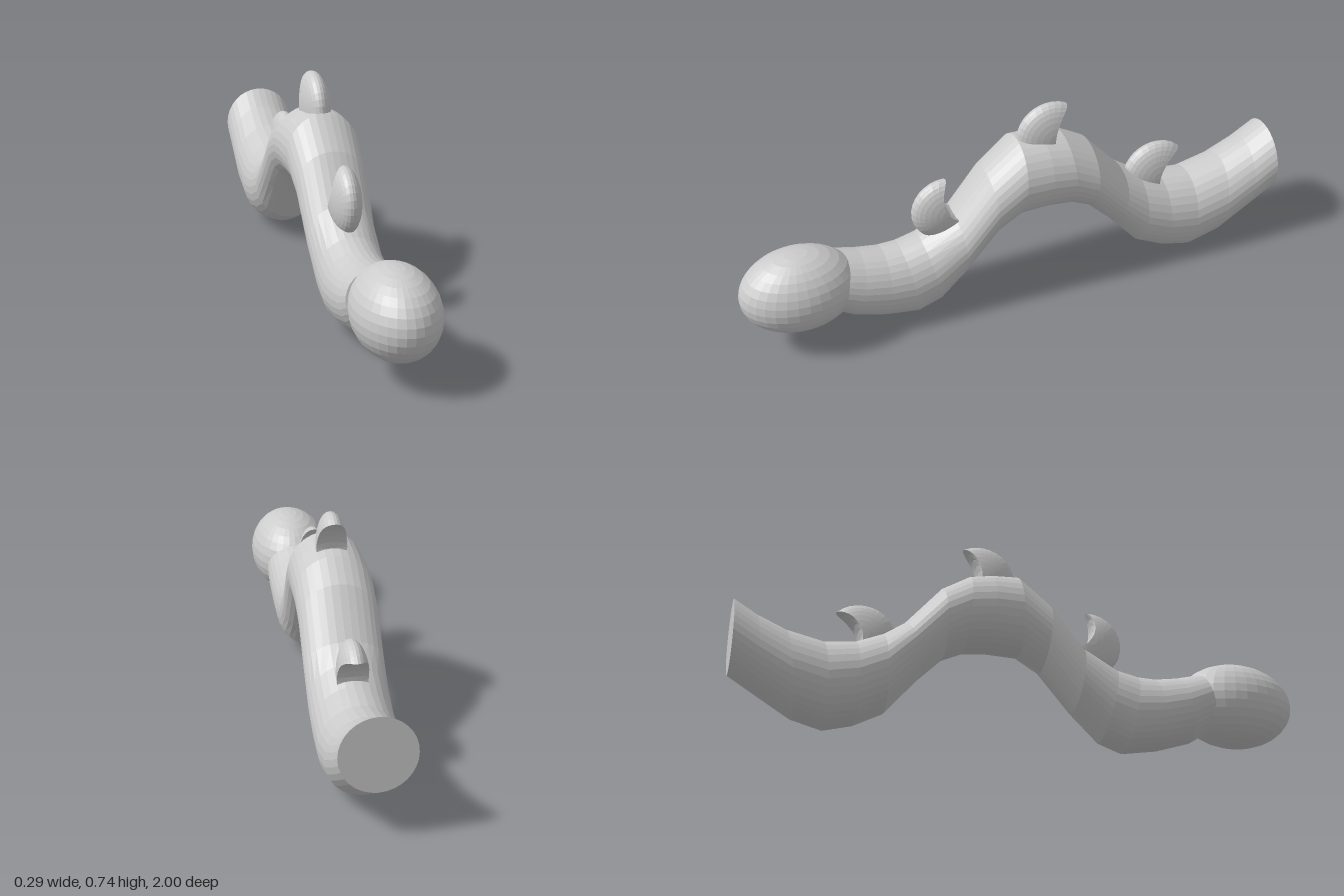
import * as THREE from 'three';

const material = new THREE.MeshStandardMaterial({ color: 0xcccccc, flatShading: true });
const BODY_X = -0.012;

// Skin a list of closed rings (arrays of Vector3), optionally capping both ends.
function loft(rings, capped) {
  const n = rings[0].length;
  const pos = rings.flat().flatMap((p) => [p.x, p.y, p.z]);
  const idx = [];
  for (let i = 0; i < rings.length - 1; i++) {
    for (let j = 0; j < n; j++) {
      const k = (j + 1) % n;
      const a = i * n + j, b = i * n + k, c = a + n, d = b + n;
      idx.push(a, c, b, c, d, b);
    }
  }
  if (capped) {
    const last = (rings.length - 1) * n;
    for (let j = 1; j < n - 1; j++) {
      idx.push(0, j, j + 1);
      idx.push(last, last + j + 1, last + j);
    }
  }
  const geo = new THREE.BufferGeometry();
  geo.setAttribute('position', new THREE.Float32BufferAttribute(pos, 3));
  geo.setIndex(idx);
  const flat = geo.toNonIndexed();
  flat.computeVertexNormals();
  return flat;
}

function addMesh(group, name, geometry) {
  const mesh = new THREE.Mesh(geometry, material);
  mesh.name = name;
  group.add(mesh);
  return mesh;
}

// Wavy body: each section is [top z, top y, bottom z, bottom y, half width].
function bodyGeometry() {
  const sections = [
    [0.64, 0.322, 0.70, 0.13, 0.116],
    [0.56, 0.302, 0.62, 0.075, 0.118],
    [0.48, 0.29, 0.50, 0.035, 0.118],
    [0.42, 0.293, 0.375, 0.013, 0.118],
    [0.345, 0.31, 0.29, 0.045, 0.118],
    [0.22, 0.38, 0.195, 0.147, 0.12],
    [0.10, 0.53, 0.08, 0.29, 0.126],
    [-0.02, 0.63, 0, 0.34, 0.133],
    [-0.11, 0.625, -0.11, 0.345, 0.136],
    [-0.19, 0.61, -0.20, 0.335, 0.136],
    [-0.29, 0.55, -0.27, 0.303, 0.136],
    [-0.42, 0.40, -0.355, 0.217, 0.136],
    [-0.49, 0.355, -0.47, 0.08, 0.136],
    [-0.58, 0.318, -0.57, 0.027, 0.136],
    [-0.69, 0.305, -0.67, 0, 0.136],
    [-0.82, 0.335, -0.78, 0.03, 0.134],
    [-0.92, 0.38, -0.90, 0.105, 0.129],
    [-1, 0.43, -1, 0.168, 0.127],
  ];
  const sides = 32;
  const rings = sections.map(([zt, yt, zb, yb, w]) =>
    Array.from({ length: sides }, (_, j) => {
      const t = (j / sides) * Math.PI * 2;
      const s = Math.sin(t) / 2;
      return new THREE.Vector3(
        BODY_X + w * Math.cos(t),
        (yt + yb) / 2 + (yt - yb) * s,
        (zt + zb) / 2 + (zt - zb) * s
      );
    })
  );
  return loft(rings, true);
}

// Hooked fin: a narrow ellipsoid hollowed at the back by a cylinder lying along x
// whose surface passes through the ellipsoid's centre.
function finGeometry(radius, cutZ, cutY) {
  const halfWidth = 0.053, slices = 16, outer = 20, inner = 10;
  const d = Math.hypot(cutZ, cutY), dir = Math.atan2(cutY, cutZ);
  const rings = [];
  for (let i = 0; i <= slices; i++) {
    const theta = (i / slices - 0.5) * Math.PI;
    const x = halfWidth * Math.sin(theta);
    const r = Math.max(radius * Math.cos(theta), 1e-5);
    const open = Math.acos(r / (2 * d));
    const bow = Math.asin((r * Math.sin(open)) / d);
    const ring = [];
    for (let j = 0; j < outer; j++) {
      const a = dir + open + (j / outer) * (2 * Math.PI - 2 * open);
      ring.push(new THREE.Vector3(x, r * Math.sin(a), r * Math.cos(a)));
    }
    for (let j = 0; j < inner; j++) {
      const a = dir + Math.PI + bow - (j / inner) * 2 * bow;
      ring.push(new THREE.Vector3(x, cutY + d * Math.sin(a), cutZ + d * Math.cos(a)));
    }
    rings.push(ring);
  }
  return loft(rings, false);
}

export function createModel() {
  const model = new THREE.Group();
  model.name = 'serpent';

  addMesh(model, 'body', bodyGeometry());

  // Egg-shaped head
  const head = addMesh(model, 'head', new THREE.SphereGeometry(1, 32, 16));
  head.scale.set(0.145, 0.152, 0.21);
  head.position.set(0, 0.231, 0.79);

  // Fins: [name, y, z, radius, cutter offset z, cutter offset y]
  const fins = [
    ['frontFin', 0.41, 0.25, 0.12, -0.084, 0.055],
    ['middleFin', 0.62, -0.145, 0.125, -0.147, -0.01],
    ['rearFin', 0.342, -0.56, 0.125, -0.112, -0.023],
  ];
  for (const [name, y, z, radius, cutZ, cutY] of fins) {
    addMesh(model, name, finGeometry(radius, cutZ, cutY)).position.set(BODY_X, y, z);
  }
  return model;
}
